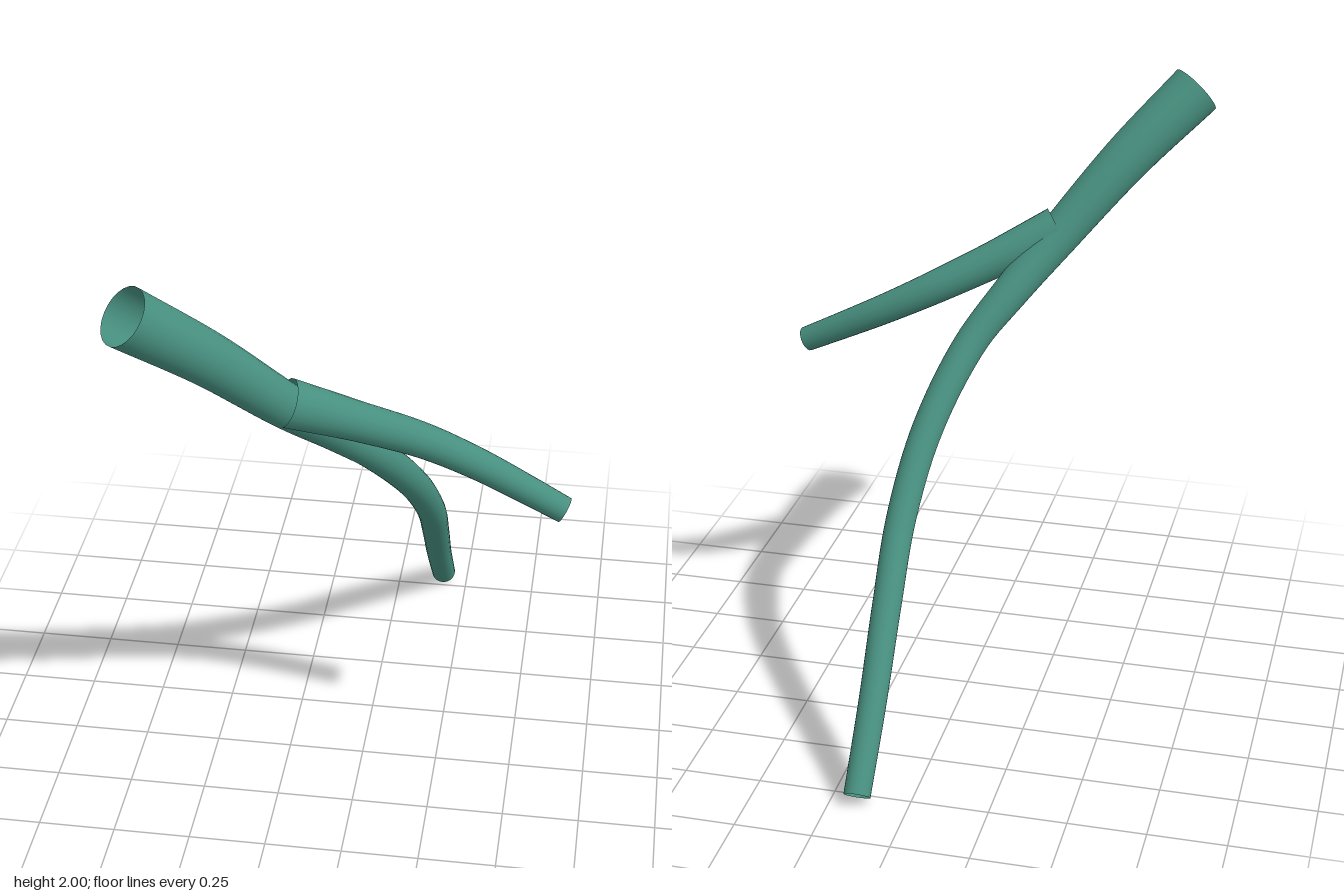
import * as THREE from 'three';

const SEGMENTS = 72, SIDES = 24;

// Open tube along a smooth path; radii is a list of [position 0..1, radius]
function taperedTube(name, points, radii, material) {
  const curve = new THREE.CatmullRomCurve3(points.map(p => new THREE.Vector3(...p)), false, 'centripetal');
  const geometry = new THREE.TubeGeometry(curve, SEGMENTS, 1, SIDES, false);
  const pos = geometry.attributes.position;
  const v = new THREE.Vector3();
  const radiusAt = u => {
    let i = 1;
    while (i < radii.length - 1 && u > radii[i][0]) i++;
    const [u0, r0] = radii[i - 1], [u1, r1] = radii[i];
    return THREE.MathUtils.lerp(r0, r1, (u - u0) / (u1 - u0));
  };
  for (let ring = 0; ring <= SEGMENTS; ring++) {
    const u = ring / SEGMENTS, centre = curve.getPointAt(u), r = radiusAt(u);
    for (let j = 0; j <= SIDES; j++) {
      const k = ring * (SIDES + 1) + j;
      v.fromBufferAttribute(pos, k).sub(centre).multiplyScalar(r).add(centre);
      pos.setXYZ(k, v.x, v.y, v.z);
    }
  }
  const mesh = new THREE.Mesh(geometry, material);
  mesh.name = name;
  return mesh;
}

export function createModel() {
  const group = new THREE.Group();
  group.name = 'forkedTube';
  const green = new THREE.MeshStandardMaterial({ color: 0x478f7f, side: THREE.DoubleSide });
  green.name = 'tealGreen';

  // Long stem, wide at the top and narrowing to the foot
  group.add(taperedTube('mainTube', [
    [-0.60, 1.935, 0.76], [-0.40, 1.73, 0.61], [-0.20, 1.49, 0.45], [-0.07, 1.33, 0.32],
    [0.04, 1.18, 0.20], [0.135, 0.95, 0.0], [0.172, 0.72, -0.2], [0.17, 0.495, -0.4],
    [0.163, 0.265, -0.6], [0.162, 0.033, -0.80],
  ], [[0, 0.092], [0.25, 0.07], [0.4, 0.055], [0.6, 0.05], [1, 0.043]], green));

  // Side branch leaving the stem towards +x
  group.add(taperedTube('sideBranch', [
    [-0.195, 1.51, 0.465], [0, 1.415, 0.385], [0.2, 1.318, 0.316],
    [0.36, 1.238, 0.295], [0.5, 1.168, 0.298], [0.642, 1.097, 0.308],
  ], [[0, 0.076], [0.25, 0.062], [0.6, 0.052], [1, 0.042]], green));

  return group;
}
